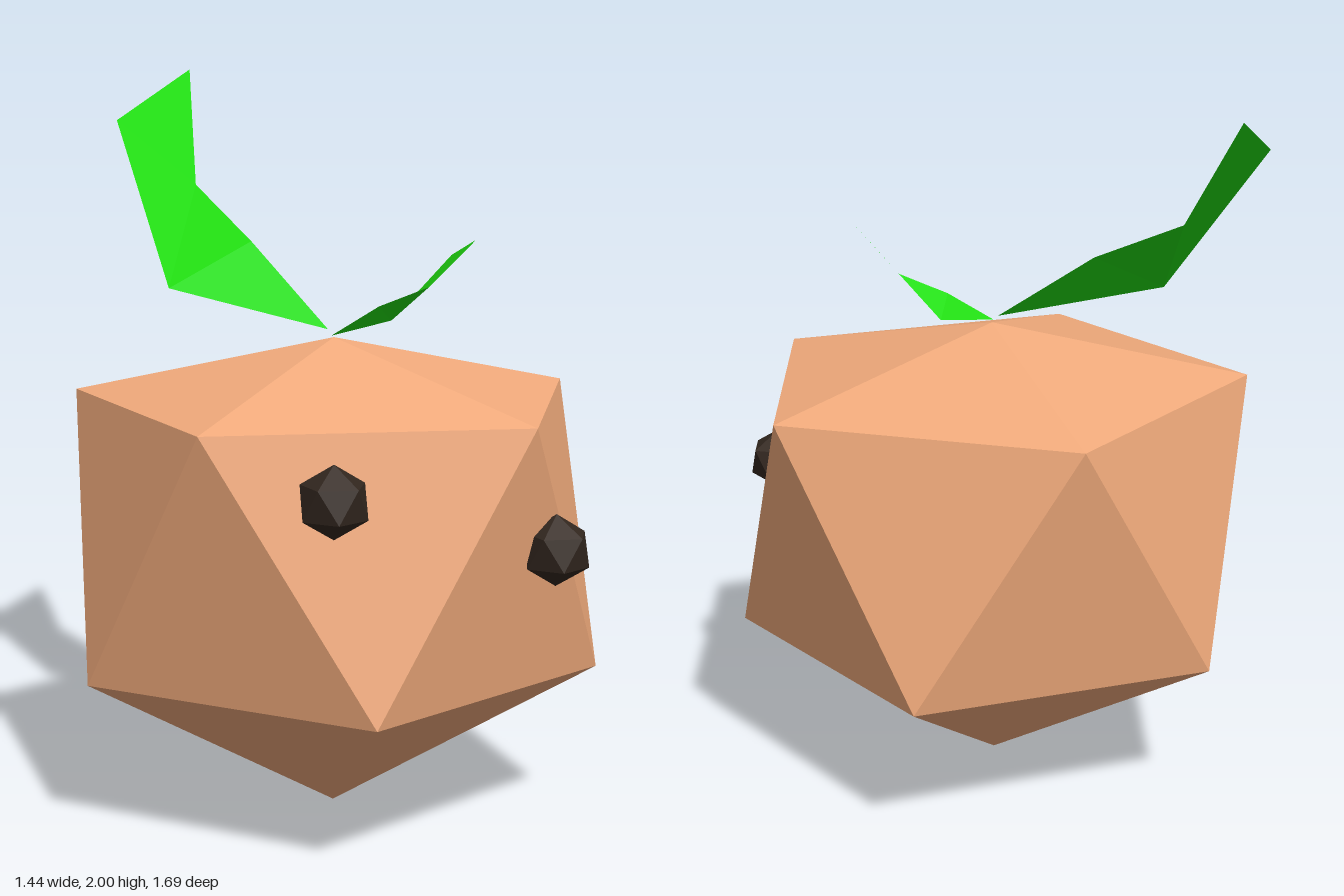
import * as THREE from 'three';

const paint = (color) => new THREE.MeshStandardMaterial({ color, flatShading: true, side: THREE.DoubleSide });

// Flat-faced mesh from a list of points and triangles of point indices
function facetMesh(name, points, faces, material) {
  const geometry = new THREE.BufferGeometry();
  const coords = faces.flatMap((face) => face.flatMap((i) => points[i]));
  geometry.setAttribute('position', new THREE.Float32BufferAttribute(coords, 3));
  geometry.computeVertexNormals();
  const mesh = new THREE.Mesh(geometry, material);
  mesh.name = name;
  return mesh;
}

// Twenty-sided ball: two tips and two staggered five-point rings at chosen heights
function facetBall(name, radius, [bottom, low, high, top], material) {
  const ring = (y, turn) => Array.from({ length: 5 }, (_, i) => {
    const a = ((i + turn) * Math.PI * 2) / 5;
    return [radius * Math.cos(a), y, radius * Math.sin(a)];
  });
  const points = [[0, top, 0], ...ring(high, 0), ...ring(low, 0.5), [0, bottom, 0]];
  const faces = [];
  for (let i = 0; i < 5; i++) {
    const n = (i + 1) % 5;
    const [u, un, l, ln] = [1 + i, 1 + n, 6 + i, 6 + n];
    faces.push([0, un, u], [u, un, l], [un, ln, l], [l, ln, 11]);
  }
  return facetMesh(name, points, faces, material);
}

// Folded leaf: base, outer edge (2 points), tip, inner edge (2 points)
function leaf(name, points, material) {
  return facetMesh(name, points, [[0, 1, 5], [1, 4, 5], [1, 2, 4], [2, 3, 4]], material);
}

export function createModel() {
  const model = new THREE.Group();
  const skin = paint(0xf2ab7c);
  const dark = paint(0x33271f);
  const green = paint(0x20dd10);

  // Body
  const body = facetBall('body', 0.72, [0, 0.42, 1.14, 1.3], skin);
  body.position.z = 0.155;
  model.add(body);

  // Eyes, half sunk into the front faces
  const eyes = [['rightEye', -0.29, 0.98, 0.735], ['leftEye', 0.33, 0.805, 0.765]];
  for (const [name, x, y, z] of eyes) {
    const eye = facetBall(name, 0.085, [-0.094, -0.042, 0.042, 0.094], dark);
    eye.position.set(x, y, z);
    model.add(eye);
  }

  // Leaves sprouting from the top
  model.add(leaf('largeLeaf', [
    [-0.01, 1.32, 0.14], [-0.34, 1.415, -0.18], [-0.325, 1.86, -0.595],
    [0.01, 2, -0.845], [-0.12, 1.675, -0.5], [-0.09, 1.535, -0.18],
  ], green));
  model.add(leaf('smallLeaf', [
    [-0.01, 1.305, 0.16], [0.175, 1.335, 0.155], [0.29, 1.52, 0.28],
    [0.27, 1.575, 0.445], [0.205, 1.44, 0.31], [0.1, 1.385, 0.225],
  ], green));

  return model;
}
